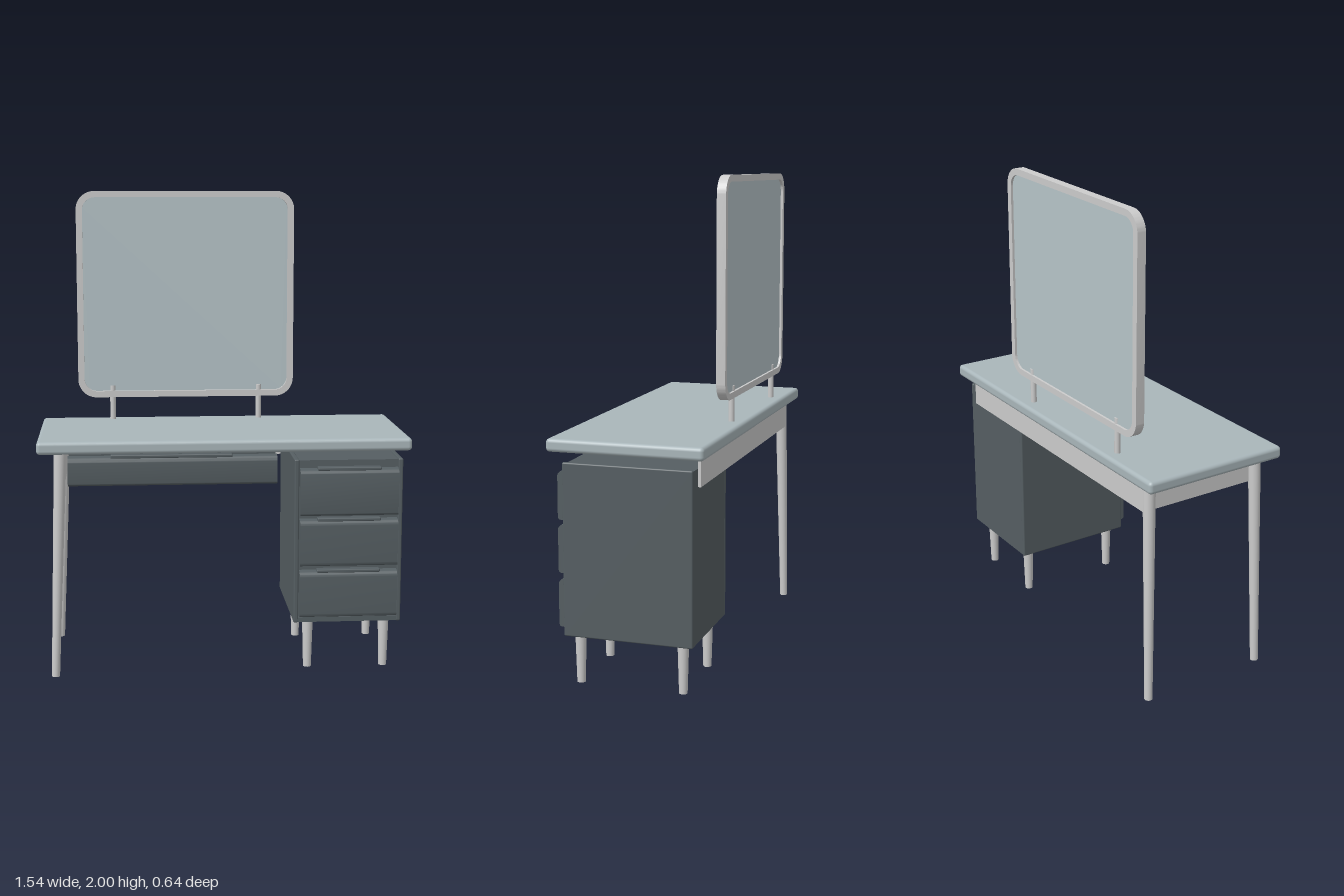
import * as THREE from 'three';
import { RoundedBoxGeometry } from 'three/addons/geometries/RoundedBoxGeometry.js';
import { toCreasedNormals } from 'three/addons/utils/BufferGeometryUtils.js';

const material = (color) => new THREE.MeshStandardMaterial({ color });

export function createModel() {
  const model = new THREE.Group();
  const grey = material(0xcccccc);
  const dark = material(0x555e62);
  const topColor = material(0xa9b6ba);
  const glass = material(0xb6c4c8);

  const add = (name, geometry, mat, x = 0, y = 0, z = 0) => {
    const mesh = new THREE.Mesh(geometry, mat);
    mesh.name = name;
    mesh.position.set(x, y, z);
    model.add(mesh);
    return mesh;
  };
  // Box given by its limits, with optional rounded edges
  const box = (name, mat, [x0, x1], [y0, y1], [z0, z1], r = 0) => {
    const size = [x1 - x0, y1 - y0, z1 - z0];
    const geometry = r ? new RoundedBoxGeometry(...size, 3, r) : new THREE.BoxGeometry(...size);
    return add(name, geometry, mat, (x0 + x1) / 2, (y0 + y1) / 2, (z0 + z1) / 2);
  };
  // Tapered leg between two points
  const leg = (name, foot, head, rFoot, rHead) => {
    const a = new THREE.Vector3(...foot), b = new THREE.Vector3(...head);
    const mesh = add(name, new THREE.CylinderGeometry(rHead, rFoot, a.distanceTo(b), 24), grey);
    mesh.position.lerpVectors(a, b, 0.5);
    mesh.quaternion.setFromUnitVectors(new THREE.Vector3(0, 1, 0), b.sub(a).normalize());
  };
  // Drawer front: rounded side profile swept across the width, plus a slim finger pull
  const drawerFront = (name, [x0, x1], [y0, y1], pullX) => {
    const back = 0.257, front = 0.29;
    const s = new THREE.Shape();
    s.moveTo(-back, y0);
    s.lineTo(-front + 0.014, y0);
    s.quadraticCurveTo(-front, y0, -front, y0 + 0.016);
    s.lineTo(-front, y1 - 0.025);
    s.quadraticCurveTo(-front, y1 - 0.012, -front + 0.012, y1 - 0.005);
    s.lineTo(-back, y1);
    const geometry = new THREE.ExtrudeGeometry(s, { depth: x1 - x0, bevelEnabled: false, curveSegments: 6 });
    geometry.rotateY(Math.PI / 2);
    add(name, toCreasedNormals(geometry, 0.6), dark, x0);
    box(name + 'Pull', dark, pullX, [y1 - 0.008, y1 + 0.006], [0.25, 0.286], 0.004);
  };

  // Tabletop
  box('tabletop', topColor, [-0.77, 0.77], [0.947, 1], [-0.32, 0.32], 0.016);

  // Aprons under the top
  box('backApron', grey, [-0.67, 0.68], [0.83, 0.947], [-0.283, -0.271]);
  box('sideApron', grey, [-0.672, -0.655], [0.83, 0.947], [-0.275, 0.255]);

  // Long splayed legs
  for (const side of [1, -1])
    leg('tableLeg', [-0.709, 0, side * 0.274], [-0.675, 0.948, side * 0.258], 0.017, 0.026);

  // Wide drawer
  box('wideDrawerBody', dark, [-0.64, 0.21], [0.815, 0.943], [-0.255, 0.258]);
  drawerFront('wideDrawerFront', [-0.645, 0.215], [0.81, 0.932], [-0.47, 0.03]);

  // Cabinet carcass
  for (const x of [0.29, 0.725])
    box('cabinetSide', dark, [x, x + 0.02], [0.205, 0.905], [-0.27, 0.262], 0.006);
  box('cabinetBody', dark, [0.305, 0.73], [0.209, 0.9], [-0.268, 0.25]);
  box('cabinetBase', dark, [0.305, 0.73], [0.207, 0.228], [-0.268, 0.26]);

  // Three stacked drawers
  for (const y of [0.235, 0.455, 0.67])
    drawerFront('cabinetDrawer', [0.312, 0.723], [y, y + 0.199], [0.385, 0.65]);

  // Short cabinet legs
  for (const x of [0.355, 0.68])
    for (const z of [0.216, -0.212])
      leg('cabinetLeg', [x, 0, z], [x, 0.21, z], 0.017, 0.023);

  // Mirror: rounded frame with a thin glass panel
  const rounded = (w, h, r, Type) => {
    const s = new Type(), x = w / 2 - r, y = h / 2 - r;
    s.absarc(x, y, r, 0, Math.PI / 2);
    s.absarc(-x, y, r, Math.PI / 2, Math.PI);
    s.absarc(-x, -y, r, Math.PI, Math.PI * 1.5);
    s.absarc(x, -y, r, Math.PI * 1.5, Math.PI * 2);
    s.closePath();
    return s;
  };
  const frame = rounded(0.95, 0.9, 0.08, THREE.Shape);
  frame.holes.push(rounded(0.896, 0.846, 0.055, THREE.Path));
  const extrude = (shape, depth) => toCreasedNormals(
    new THREE.ExtrudeGeometry(shape, { depth, bevelEnabled: false, curveSegments: 10 }), 0.6);
  add('mirrorFrame', extrude(frame, 0.038), grey, -0.136, 1.55, -0.278);
  add('mirrorGlass', extrude(rounded(0.9, 0.85, 0.056, THREE.Shape), 0.012), glass, -0.136, 1.55, -0.268);

  // Mirror posts
  for (const x of [-0.46, 0.187])
    leg('mirrorPost', [x, 0.99, -0.262], [x, 1.15, -0.262], 0.0125, 0.0125);

  return model;
}
